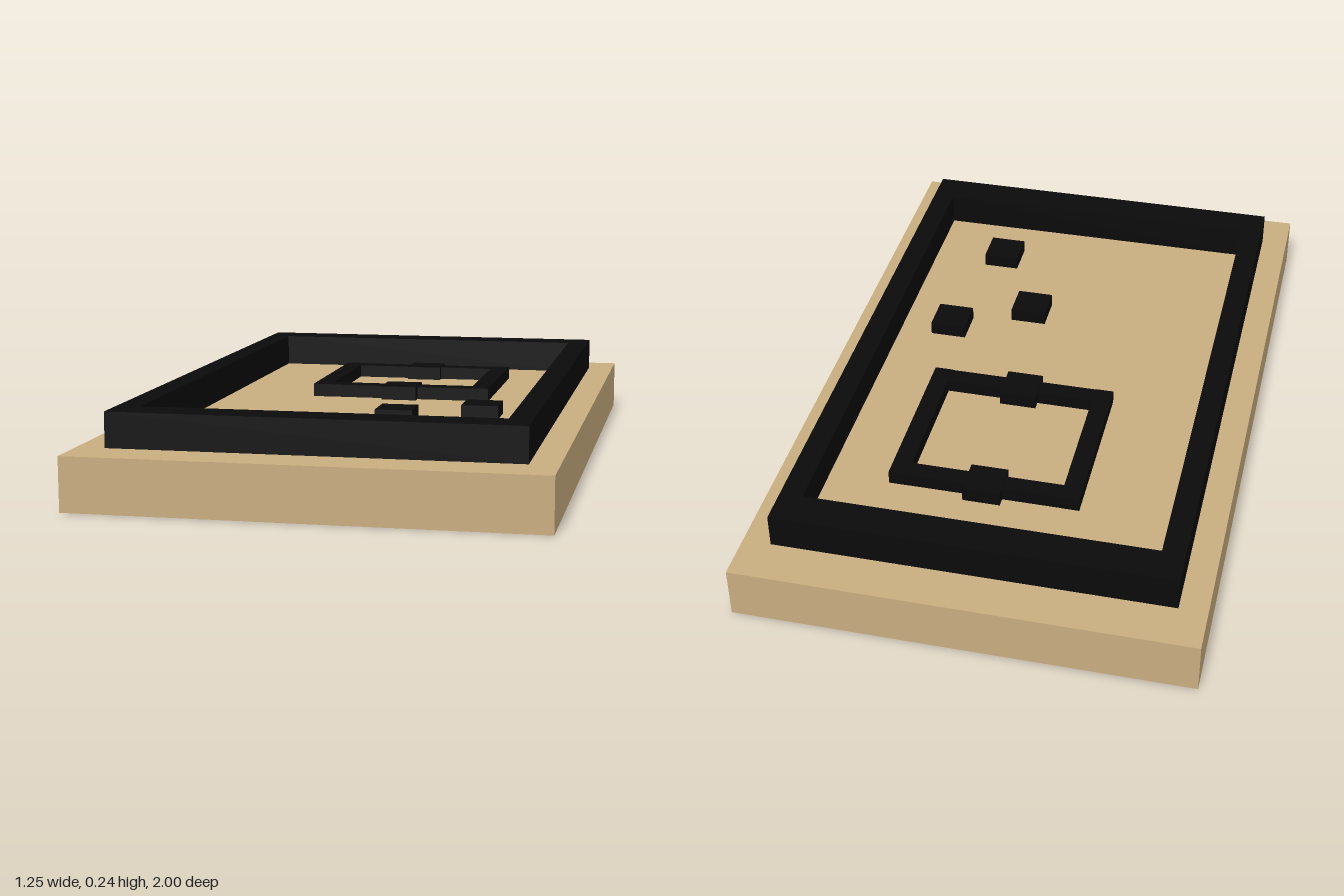
import * as THREE from 'three';

export function createModel() {
  const model = new THREE.Group();
  const wood = new THREE.MeshStandardMaterial({ color: 0xc8ad7f });
  wood.name = 'tan wood';
  const black = new THREE.MeshStandardMaterial({ color: 0x0a0a0a });
  black.name = 'black';
  const top = 0.145; // top of the base slab

  // Box given by its centre, footprint and bottom/height
  function box(name, material, x, z, w, d, y, h) {
    const mesh = new THREE.Mesh(new THREE.BoxGeometry(w, h, d), material);
    mesh.position.set(x, y + h / 2, z);
    mesh.name = name;
    model.add(mesh);
  }

  // Base slab
  box('base', wood, 0, 0, 1.245, 2, 0, top);

  // Outer wall: a rectangle with a rectangular opening
  const rect = (P, x, z) => new P([[-x, -z], [x, -z], [x, z], [-x, z]].map(p => new THREE.Vector2(...p)));
  const outline = rect(THREE.Shape, 0.545, 0.873);
  outline.holes.push(rect(THREE.Path, 0.482, 0.773));
  const wallGeometry = new THREE.ExtrudeGeometry(outline, { depth: 0.095, bevelEnabled: false });
  wallGeometry.rotateX(-Math.PI / 2);
  const wall = new THREE.Mesh(wallGeometry, black);
  wall.position.y = top;
  wall.name = 'outerWall';
  model.add(wall);

  // Small inner enclosure with a gate block in the middle of each cross bar
  const cx = 0.043, cz = -0.322;
  for (const s of [-1, 1]) {
    box('enclosureSide', black, cx + s * 0.241, cz, 0.053, 0.488, top, 0.038);
    box('enclosureBar', black, cx, cz + s * 0.217, 0.45, 0.053, top, 0.037);
    box('gateBlock', black, cx, cz + s * 0.217, 0.105, 0.105, top, 0.04);
  }

  // Loose blocks
  for (const [x, z] of [[0.331, 0.188], [0.108, 0.31], [0.262, 0.59]]) {
    box('looseBlock', black, x, z, 0.105, 0.105, top, 0.038);
  }
  return model;
}
